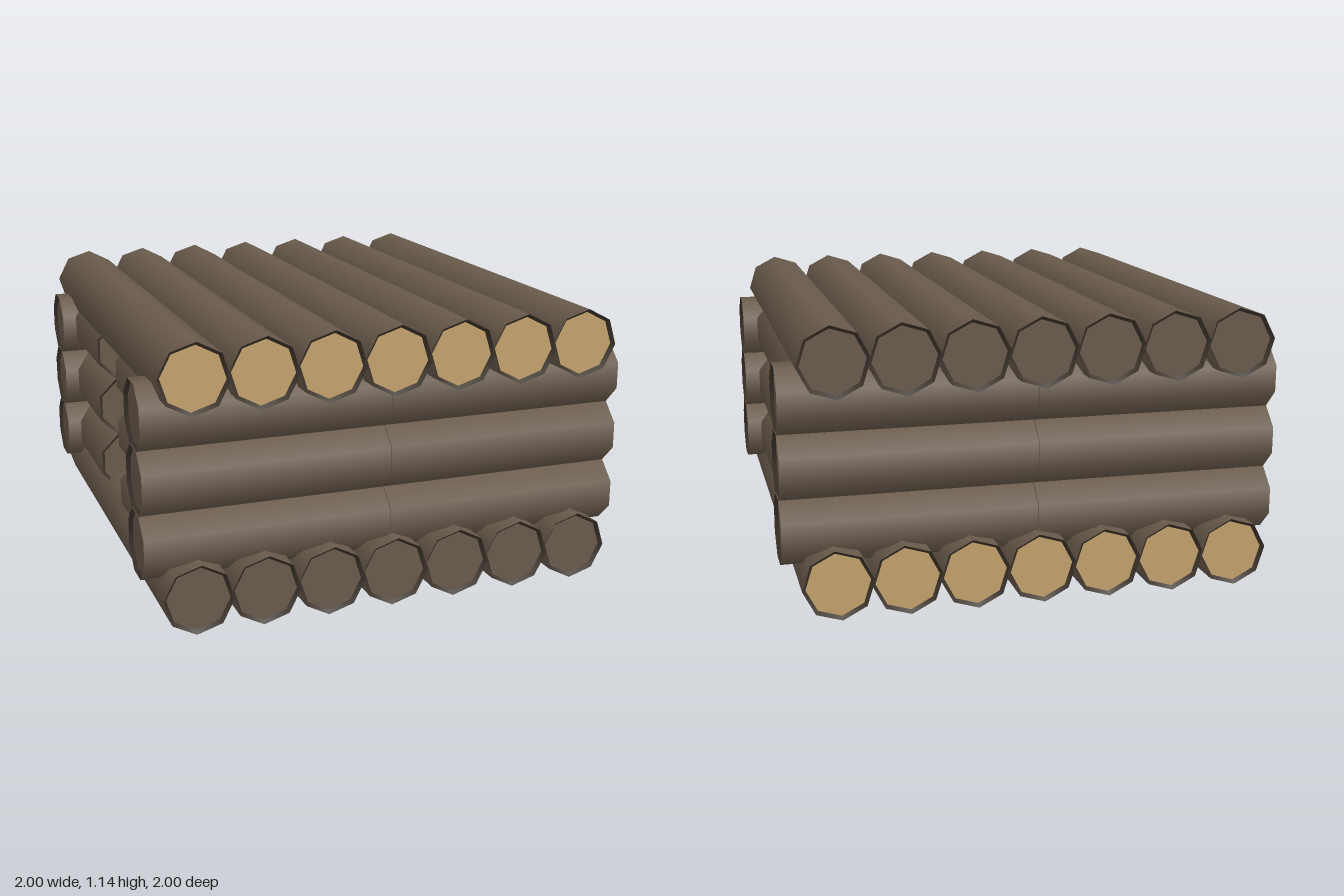
import * as THREE from 'three';

const R = 0.14;        // log radius
const CAP_R = 0.126;   // sawn face radius
const RECESS = 0.015;  // depth of the sawn face behind the bark rim

const mat = (name, color, side = THREE.FrontSide) => {
  const m = new THREE.MeshStandardMaterial({ color, side });
  m.name = name;
  return m;
};

export function createModel() {
  const bark = mat('bark', 0x695a4b);
  const rimDark = mat('dark bark rim', 0x3d342b, THREE.DoubleSide);
  const freshWood = mat('fresh cut wood', 0xc4a26c);

  const model = new THREE.Group();
  model.name = 'logShelter';

  const rimGeo = new THREE.CylinderGeometry(R, CAP_R, RECESS, 8, 1, true).rotateX(Math.PI / 2);
  const capGeo = new THREE.CircleGeometry(CAP_R, 8);

  // Eight-sided log along z from a to b, with a recessed sawn face at each end
  function makeLog(name, a, b, roll, frontCap = bark, backCap = bark) {
    const log = new THREE.Group();
    log.name = name;
    const len = b - a;
    const side = new THREE.Mesh(
      new THREE.CylinderGeometry(R, R, len, 8, 1, true).rotateX(Math.PI / 2), bark);
    side.name = 'barkSide';
    side.position.z = (a + b) / 2;
    log.add(side);
    for (const [z, dir, capMat] of [[b, 1, frontCap], [a, -1, backCap]]) {
      const end = new THREE.Group();
      end.name = 'logEnd';
      const rim = new THREE.Mesh(rimGeo, rimDark);
      rim.name = 'rim';
      rim.position.z = -RECESS / 2;
      const cap = new THREE.Mesh(capGeo, capMat);
      cap.name = 'sawnFace';
      cap.position.z = -RECESS;
      end.add(rim, cap);
      end.position.z = z;
      if (dir < 0) end.rotation.y = Math.PI;
      log.add(end);
    }
    log.rotation.z = roll;
    model.add(log);
    return log;
  }

  // Floor and roof: seven logs each, running front to back
  const tilt = -0.09;
  for (let i = 0; i < 7; i++) {
    const x = -0.807 + i * 0.267;
    makeLog('floorLog', -1, 1, tilt, bark, freshWood).position.set(x, 0.14, 0);
    makeLog('roofLog', -1, 1, tilt, freshWood, bark).position.set(x, 1.0, 0);
  }

  // Walls: three courses, each made of two logs per side
  const flat = Math.PI / 8;
  for (const y of [0.323, 0.579, 0.835]) {
    for (const [name, z, a, b] of [['frontWallLog', 0.808, -1, 0.995], ['backWallLog', -0.808, -0.99, 1]]) {
      for (const [from, to] of [[a, -0.006], [-0.004, b]]) {
        const log = makeLog(name, from, to, flat);
        log.rotation.y = Math.PI / 2;
        log.position.set(0, y, z);
      }
    }
    // Closed wall on the left, wall with a gap on the right
    for (const [name, x, gapA, gapB] of [['leftWallLog', 0.8, 0.019, 0.021], ['rightWallLog', -0.8, -0.17, 0.21]]) {
      makeLog(name, -0.74, gapA, flat).position.set(x, y, 0);
      makeLog(name, gapB, 0.74, flat).position.set(x, y, 0);
    }
  }
  return model;
}
